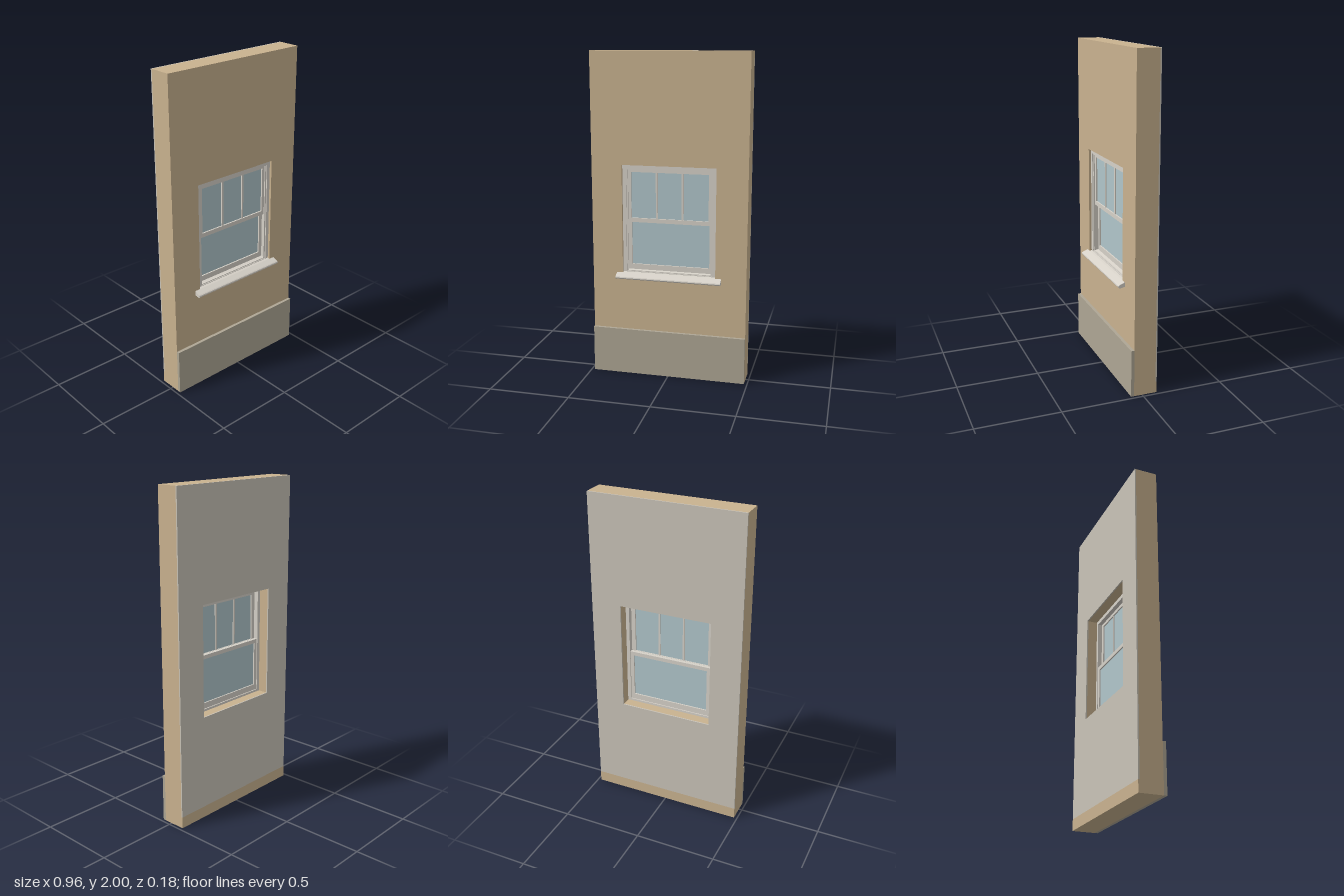
import * as THREE from 'three';

const mat = (name, color) => new THREE.MeshStandardMaterial({ name, color });

export function createModel() {
  const tan = mat('wallTan', 0xc9b28f);
  const plaster = mat('innerPlaster', 0xc9c3b7);
  const stone = mat('plinthGrey', 0xaea694);
  const paint = mat('framePaint', 0xd6d1c8);
  const glass = mat('paleGlass', 0xb0c5ca);

  const model = new THREE.Group();
  model.name = 'wallWithWindow';

  const W = 0.48, H = 2, FRONT = 0.051, BACK = -0.092, SKIN = 0.008;
  const OX = 0.29, OY0 = 0.648, OY1 = 1.327; // window opening

  const add = (parent, name, geometry, material) => {
    const mesh = new THREE.Mesh(geometry, material);
    mesh.name = name;
    parent.add(mesh);
    return mesh;
  };

  // Box given by its limits on each axis
  const box = (parent, name, material, x0, x1, y0, y1, z0, z1) => {
    const mesh = add(parent, name, new THREE.BoxGeometry(x1 - x0, y1 - y0, z1 - z0), material);
    mesh.position.set((x0 + x1) / 2, (y0 + y1) / 2, (z0 + z1) / 2);
    return mesh;
  };

  // Rectangular slab with a rectangular hole, outlines as [x0, x1, y0, y1]
  const rect = (Type, [x0, x1, y0, y1]) => new Type([
    new THREE.Vector2(x0, y0), new THREE.Vector2(x1, y0),
    new THREE.Vector2(x1, y1), new THREE.Vector2(x0, y1),
  ]);
  const ring = (parent, name, material, outer, inner, z0, z1) => {
    const shape = rect(THREE.Shape, outer);
    shape.holes.push(rect(THREE.Path, inner));
    const geometry = new THREE.ExtrudeGeometry(shape, { depth: z1 - z0, bevelEnabled: false });
    geometry.translate(0, 0, z0);
    return add(parent, name, geometry, material);
  };

  // Profile of [z, y] points swept along x, centred
  const sweepX = (parent, name, material, points, halfWidth) => {
    const shape = new THREE.Shape(points.map(([z, y]) => new THREE.Vector2(-z, y)));
    const geometry = new THREE.ExtrudeGeometry(shape, { depth: halfWidth * 2, bevelEnabled: false });
    geometry.translate(0, 0, -halfWidth);
    geometry.rotateY(Math.PI / 2);
    return add(parent, name, geometry, material);
  };

  // Wall, inner plaster skin with a bare strip below it, and plinth
  const opening = [-OX, OX, OY0, OY1];
  ring(model, 'wall', tan, [-W, W, 0, H], opening, BACK + SKIN, FRONT);
  ring(model, 'innerPlaster', plaster, [-W, W, 0.07, H], opening, BACK, BACK + SKIN);
  box(model, 'bareStrip', tan, -W, W, 0, 0.07, BACK, BACK + SKIN);
  box(model, 'plinth', stone, -W, W, 0, 0.29, FRONT, 0.07);

  const win = new THREE.Group();
  win.name = 'window';
  model.add(win);

  // Fixed box frame with a narrower inner stop
  ring(win, 'frame', paint, opening, [-0.268, 0.268, 0.662, 1.303], -0.025, 0.036);
  ring(win, 'frameStop', paint, [-0.27, 0.27, 0.66, 1.305], [-0.258, 0.258, 0.667, 1.297], 0.023, 0.03);

  // Upper sash in front, with two glazing bars
  const upper = new THREE.Group();
  upper.name = 'upperSash';
  win.add(upper);
  ring(upper, 'upperSashFrame', paint, [-0.266, 0.266, 0.972, 1.302], [-0.24, 0.24, 0.998, 1.282], 0.001, 0.022);
  box(upper, 'upperGlass', glass, -0.242, 0.242, 0.996, 1.284, 0.009, 0.013);
  for (const x of [-0.08, 0.08]) {
    box(upper, 'glazingBar', paint, x - 0.006, x + 0.006, 0.996, 1.284, 0.003, 0.02);
  }

  // Lower sash behind
  const lower = new THREE.Group();
  lower.name = 'lowerSash';
  win.add(lower);
  ring(lower, 'lowerSashFrame', paint, [-0.266, 0.266, 0.664, 0.998], [-0.243, 0.243, 0.7, 0.974], -0.022, -0.001);
  box(lower, 'lowerGlass', glass, -0.245, 0.245, 0.698, 0.976, -0.014, -0.01);

  // Sloping sill: inside the opening, then the wider rounded nose outside
  sweepX(win, 'innerSill', paint, [[0, 0.649], [FRONT, 0.649], [FRONT, 0.655], [0, 0.667]], OX - 0.001);
  sweepX(win, 'sillNose', paint, [
    [FRONT, 0.626], [0.062, 0.626], [0.066, 0.622], [0.084, 0.622], [0.09, 0.626],
    [0.092, 0.631], [0.09, 0.637], [0.084, 0.641], [FRONT, 0.655],
  ], 0.327);

  return model;
}
